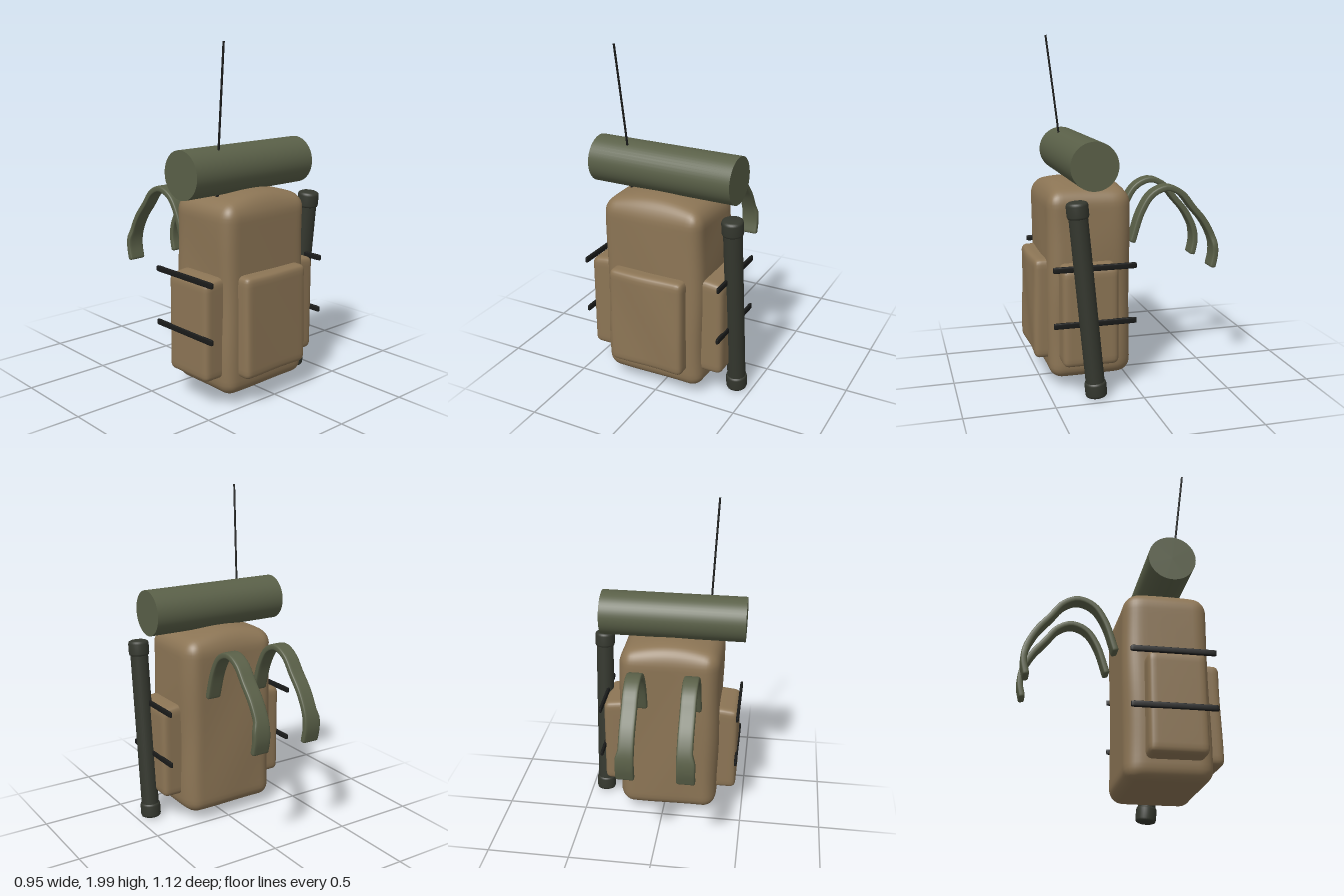
import * as THREE from 'three';
import { mergeVertices } from 'three/addons/utils/BufferGeometryUtils.js';

const material = (color) => new THREE.MeshStandardMaterial({ color, roughness: 0.9 });
const canvas = material(0x8c7555);
const olive = material(0x5a6048);
const darkOlive = material(0x35382f);
const black = material(0x1a1b1a);
const MID = -0.035; // the pack sits slightly off centre

// Box with rounded edges, dense near its edges, optionally reshaped by a rule
function softBox(w, h, d, r, segs, reshape) {
  let geo = new THREE.BoxGeometry(2, 2, 2, ...segs);
  geo.deleteAttribute('uv');
  geo.deleteAttribute('normal');
  geo = mergeVertices(geo, 1e-5);
  const pos = geo.attributes.position;
  const half = new THREE.Vector3(w / 2, h / 2, d / 2);
  const inner = half.clone().subScalar(r);
  const p = new THREE.Vector3();
  const core = new THREE.Vector3();
  const ease = (u) => Math.sin(u * Math.PI / 2);
  for (let i = 0; i < pos.count; i++) {
    p.fromBufferAttribute(pos, i);
    p.set(ease(p.x), ease(p.y), ease(p.z)).multiply(half);
    core.copy(p).clamp(inner.clone().negate(), inner);
    p.sub(core).setLength(r).add(core);
    if (reshape) reshape(p);
    pos.setXYZ(i, p.x, p.y, p.z);
  }
  geo.computeVertexNormals();
  return geo;
}

export function createModel() {
  const model = new THREE.Group();
  model.name = 'backpack';
  const add = (name, geo, mat, x = 0, y = 0, z = 0, parent = model) => {
    const mesh = new THREE.Mesh(geo, mat);
    mesh.name = name;
    mesh.position.set(x, y, z);
    parent.add(mesh);
    return mesh;
  };

  // Main bag: domed top, narrower towards the flat back
  const bag = softBox(0.61, 1.07, 0.48, 0.075, [28, 32, 28], (p) => {
    const u = p.x / 0.305, v = p.z / 0.24;
    const top = THREE.MathUtils.smoothstep(p.y, 0.3, 0.535);
    p.y += 0.055 * top * (1 - u * u) * (1 - v * v * v * v);
    p.x *= 1 - 0.05 * THREE.MathUtils.smoothstep(-p.z, 0.13, 0.24);
    p.x += 0.004 * Math.sin(p.y * 9 + p.z * 7);
    p.z += 0.003 * Math.sin(p.x * 11 + p.y * 6);
  });
  add('mainBag', bag, canvas, MID, 0.605, 0.24);

  // Pockets, with slightly puffed faces
  const frontPocket = softBox(0.46, 0.58, 0.2, 0.035, [20, 20, 16], (p) => {
    p.z += 0.004 * Math.sin(p.x * 14 + p.y * 8);
  });
  add('frontPocket', frontPocket, canvas, MID - 0.002, 0.47, 0.453);
  for (const side of [-1, 1]) {
    const pocket = softBox(0.2, 0.575, 0.32, 0.035, [16, 20, 20], (p) => {
      if (p.y > 0.2) p.y -= 0.012 * Math.max(0, p.x * side / 0.1);
    });
    add(side < 0 ? 'rightPocket' : 'leftPocket', pocket, canvas, MID + side * 0.32, 0.465, 0.268);
  }

  // Compression bars across both side pockets
  for (const side of [-1, 1]) {
    for (const y of [0.43, 0.745]) {
      const bar = softBox(0.018, 0.034, 0.47, 0.007, [6, 6, 8]);
      add('sideBar', bar, black, MID + side * 0.42, y, 0.247);
    }
  }

  // Bedroll lying across the top
  const roll = add('bedroll', new THREE.CylinderGeometry(0.135, 0.135, 0.875, 48), olive, -0.0375, 1.304, 0.25);
  roll.rotation.z = Math.PI / 2;

  // Leaning tube with a rounded cap at each end
  const tube = new THREE.Group();
  tube.name = 'carryTube';
  tube.position.set(0.41, 0.568, 0.303);
  tube.rotation.x = 0.0943;
  model.add(tube);
  add('tubeShaft', new THREE.CylinderGeometry(0.053, 0.053, 1.06, 32), darkOlive, 0, 0, 0, tube);
  const capProfile = [[0.05, 0], [0.058, 0.004], [0.061, 0.014], [0.061, 0.072],
    [0.057, 0.084], [0.046, 0.09], [0, 0.092]].map(([x, y]) => new THREE.Vector2(x, y));
  for (const end of [-1, 1]) {
    const cap = add('tubeCap', new THREE.LatheGeometry(capProfile, 32), darkOlive, 0, end * 0.465, 0, tube);
    if (end < 0) cap.rotation.x = Math.PI;
  }

  // Whip aerial rising behind the bedroll
  const aerialPath = new THREE.CatmullRomCurve3([
    new THREE.Vector3(-0.25, 1.15, 0.285), new THREE.Vector3(-0.258, 1.4, 0.306),
    new THREE.Vector3(-0.266, 1.6, 0.328), new THREE.Vector3(-0.283, 2, 0.374)]);
  add('aerial', new THREE.TubeGeometry(aerialPath, 24, 0.006, 8), black);
  add('aerialBase', new THREE.CylinderGeometry(0.009, 0.01, 0.08, 10), black, -0.25, 1.17, 0.287);

  // Shoulder straps: flat bands following an arch behind the bag
  const arch = new THREE.CatmullRomCurve3([
    [0.82, -0.03], [1.0, -0.09], [1.095, -0.155], [1.13, -0.245], [1.095, -0.33], [1.01, -0.4],
    [0.92, -0.475], [0.81, -0.53], [0.73, -0.54], [0.64, -0.523],
  ].map(([y, z]) => new THREE.Vector3(0, y, z)));
  const length = arch.getLength();
  for (const side of [-1, 1]) {
    const strap = softBox(0.09, length, 0.036, 0.012, [10, 56, 8], (p) => {
      const t = THREE.MathUtils.clamp(p.y / length + 0.5, 0, 1);
      const c = arch.getPointAt(t), d = arch.getTangentAt(t);
      const flare = 0.016 * THREE.MathUtils.smoothstep(t, 0.8, 0.87);
      const x = p.x + (p.x * side > 0 ? side * flare : 0);
      p.set(x, c.y - d.z * p.z, c.z + d.y * p.z);
    });
    add(side < 0 ? 'rightStrap' : 'leftStrap', strap, olive, MID + side * 0.163);
  }
  return model;
}
